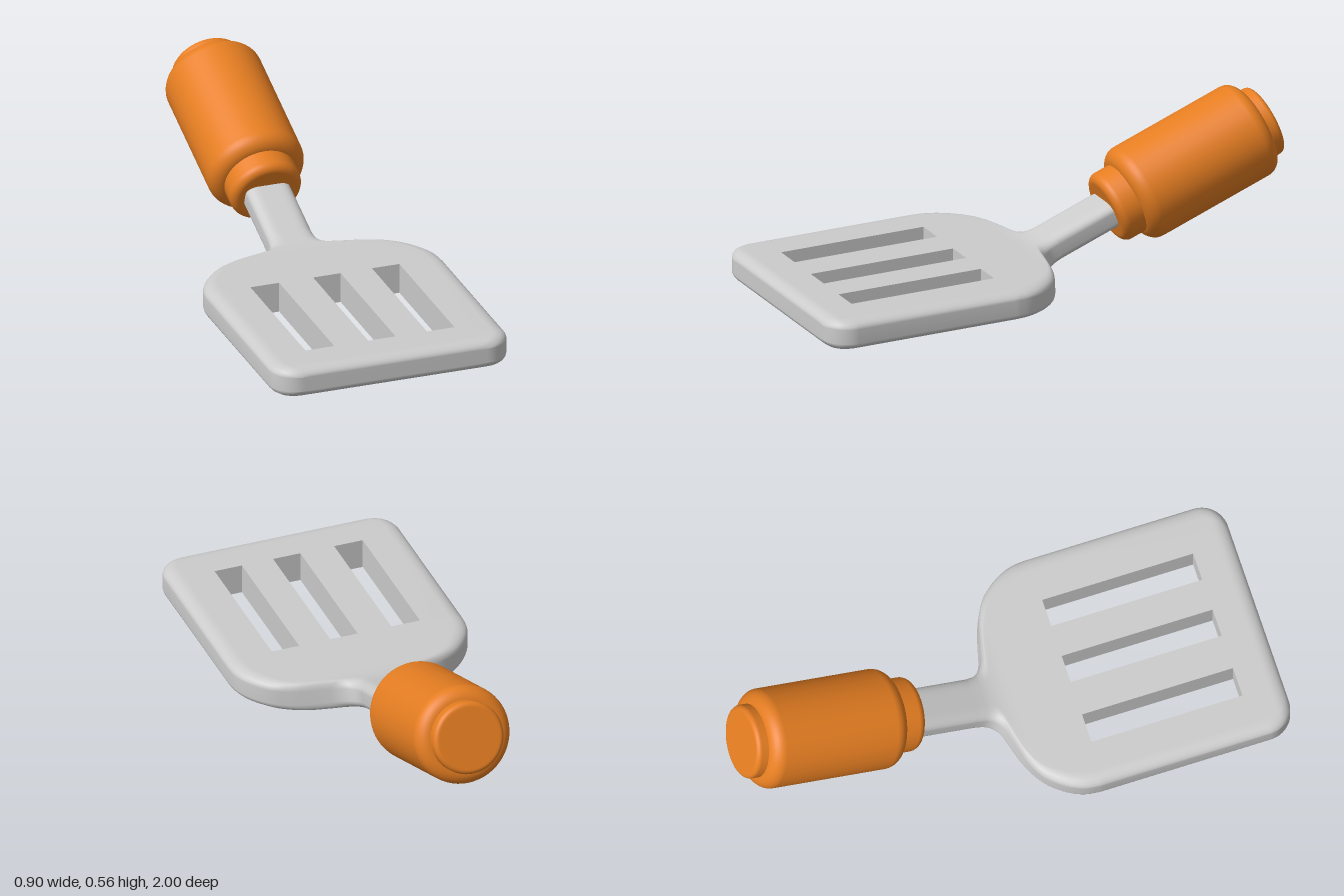
import * as THREE from 'three';

const TILT = 0.358;            // upward angle of neck and handle
const W = 0.452, BEVEL = 0.055, ROUND = 0.03, FRONT = 0.05;
const SLOTS = [[-0.29, -0.18], [-0.05, 0.055], [0.175, 0.28]];
const SLOT_Z = [0.275, 0.845];

// Centre line: flat blade, short arc, then a straight rising neck
function spine(s) {
  const R = 0.12 / TILT, t = Math.max(0, 0.06 - s);
  const a = Math.min(t / R, TILT), rest = Math.max(0, t - 0.12);
  return {
    a,
    z: t > 0 ? 0.06 - R * Math.sin(a) - rest * Math.cos(a) : s,
    y: 0.057 + R * (1 - Math.cos(a)) + rest * Math.sin(a),
  };
}

// Stations along the length: [s, half width]
function stations() {
  const shoulder = new THREE.SplineCurve([
    [-0.1, 0.085], [-0.06, 0.09], [-0.03, 0.107], [-0.008, 0.14], [0.005, 0.185], [0.022, 0.25],
    [0.04, 0.3], [0.07, 0.352], [0.11, 0.393], [0.16, 0.427], [0.21, 0.446], [0.26, W],
  ].map(([s, w]) => new THREE.Vector2(s, w)));
  const rows = [[-0.4, 0.085], [-0.2, 0.085]];
  shoulder.getPoints(55).forEach(p => rows.push([p.x, Math.min(p.y, W)]));
  rows.push([SLOT_Z[0], W], [SLOT_Z[1], W]);
  for (let i = 0; i <= 16; i++) {
    const q = i / 16 * Math.PI / 2;
    rows.push([0.9 + 0.1 * Math.sin(q), W - 0.1 + 0.1 * Math.cos(q)]);
  }
  return rows;
}

// Upper half of a cross-section, left to right: rounded edge, slot columns, rounded edge
function halfSection(s, w) {
  const k = THREE.MathUtils.smoothstep(s, -0.1, 0.06);
  const side = 0.02 + 0.007 * k;
  const f = Math.min(1, Math.max(0, (s - 1 + FRONT) / FRONT));
  const rise = ROUND * Math.sqrt(1 - f * f);
  const b = Math.min(BEVEL, w * 0.5), flat = w - b;
  const left = [];
  for (let i = 0; i <= 5; i++) {
    const q = i / 5 * Math.PI / 2;
    left.push([-flat - b * Math.cos(q), side + rise * Math.sin(q)]);
  }
  const mid = SLOTS.flat().map(x => [x * flat / (W - BEVEL), side + rise]);
  const right = left.map(([x, y]) => [-x, y]).reverse();
  const dx = -0.008 * (1 - k);
  return [...left, ...mid, ...right].map(([x, y]) => [x + dx, y]);
}

function bladeGeometry() {
  const rows = stations(), pos = [], idx = [];
  let N = 0;
  for (const [s, w] of rows) {
    const top = halfSection(s, w), p = spine(s);
    const ring = [...top, ...top.map(([x, y]) => [x, -y]).reverse()];
    N = ring.length;
    for (const [x, y] of ring) {
      pos.push(x, p.y + y * Math.cos(p.a), p.z + y * Math.sin(p.a));
    }
  }
  const quad = (a, b, c, d) => idx.push(a, d, b, d, c, b);
  for (let r = 0; r < rows.length - 1; r++) {
    const slotted = rows[r][0] === SLOT_Z[0];
    for (let j = 0; j < N; j++) {
      // Leave the slots open on both faces
      if (slotted && [6, 8, 10].some(h => j === h || j === N - 2 - h)) continue;
      const n = (j + 1) % N;
      quad(r * N + j, r * N + n, (r + 1) * N + n, (r + 1) * N + j);
    }
  }
  // Front edge
  const e = (rows.length - 1) * N;
  for (let j = 0; j < N / 2 - 1; j++) quad(e + j, e + j + 1, e + N - 2 - j, e + N - 1 - j);
  const g = new THREE.BufferGeometry();
  g.setAttribute('position', new THREE.Float32BufferAttribute(pos, 3));
  g.setIndex(idx);
  g.computeVertexNormals();
  return g;
}

// Four inward-facing walls of a slot
function slotGeometry([x0, x1]) {
  const g = new THREE.BoxGeometry(x1 - x0, 0.114, SLOT_Z[1] - SLOT_Z[0]);
  const i = Array.from(g.index.array);
  g.clearGroups();
  g.setIndex([...i.slice(0, 12), ...i.slice(24, 36)].reverse());
  const n = g.attributes.normal;
  for (let k = 0; k < n.count; k++) n.setXYZ(k, -n.getX(k), -n.getY(k), -n.getZ(k));
  g.translate((x0 + x1) / 2, 0.057, (SLOT_Z[0] + SLOT_Z[1]) / 2);
  return g;
}

// Turned cylinder from y0 to y1 with rounded rims
function roundedCylinder(r, y0, y1, f0, f1) {
  const pts = [new THREE.Vector2(0, y0), new THREE.Vector2(r - f0 - 0.004, y0)];
  for (let i = 0; i <= 8; i++) {
    const q = i / 8 * Math.PI / 2;
    pts.push(new THREE.Vector2(r - f0 + f0 * Math.sin(q), y0 + f0 - f0 * Math.cos(q)));
  }
  for (let i = 0; i <= 8; i++) {
    const q = i / 8 * Math.PI / 2;
    pts.push(new THREE.Vector2(r - f1 + f1 * Math.cos(q), y1 - f1 + f1 * Math.sin(q)));
  }
  pts.push(new THREE.Vector2(r - f1 - 0.004, y1), new THREE.Vector2(0, y1));
  return new THREE.LatheGeometry(pts, 56);
}

export function createModel() {
  const model = new THREE.Group();
  model.name = 'spatula';
  const grey = new THREE.MeshStandardMaterial({ color: 0xcccccc });
  const orange = new THREE.MeshStandardMaterial({ color: 0xe67e22 });
  const add = (parent, name, geometry, material) => {
    const mesh = new THREE.Mesh(geometry, material);
    mesh.name = name;
    parent.add(mesh);
  };

  // Slotted blade with its neck
  const blade = new THREE.Group();
  blade.name = 'blade';
  add(blade, 'bladeAndNeck', bladeGeometry(), grey);
  SLOTS.forEach((s, i) => add(blade, 'slotWalls' + (i + 1), slotGeometry(s), grey));
  model.add(blade);

  // Turned handle along the neck
  const handle = new THREE.Group();
  handle.name = 'handle';
  add(handle, 'collar', roundedCylinder(0.135, 0, 0.14, 0.03, 0.01), orange);
  add(handle, 'grip', roundedCylinder(0.182, 0.085, 0.64, 0.055, 0.05), orange);
  add(handle, 'endCap', roundedCylinder(0.134, 0.58, 0.684, 0.01, 0.018), orange);
  handle.position.set(-0.006, 0.177, -0.315);
  handle.rotation.x = TILT - Math.PI / 2;
  model.add(handle);
  return model;
}
